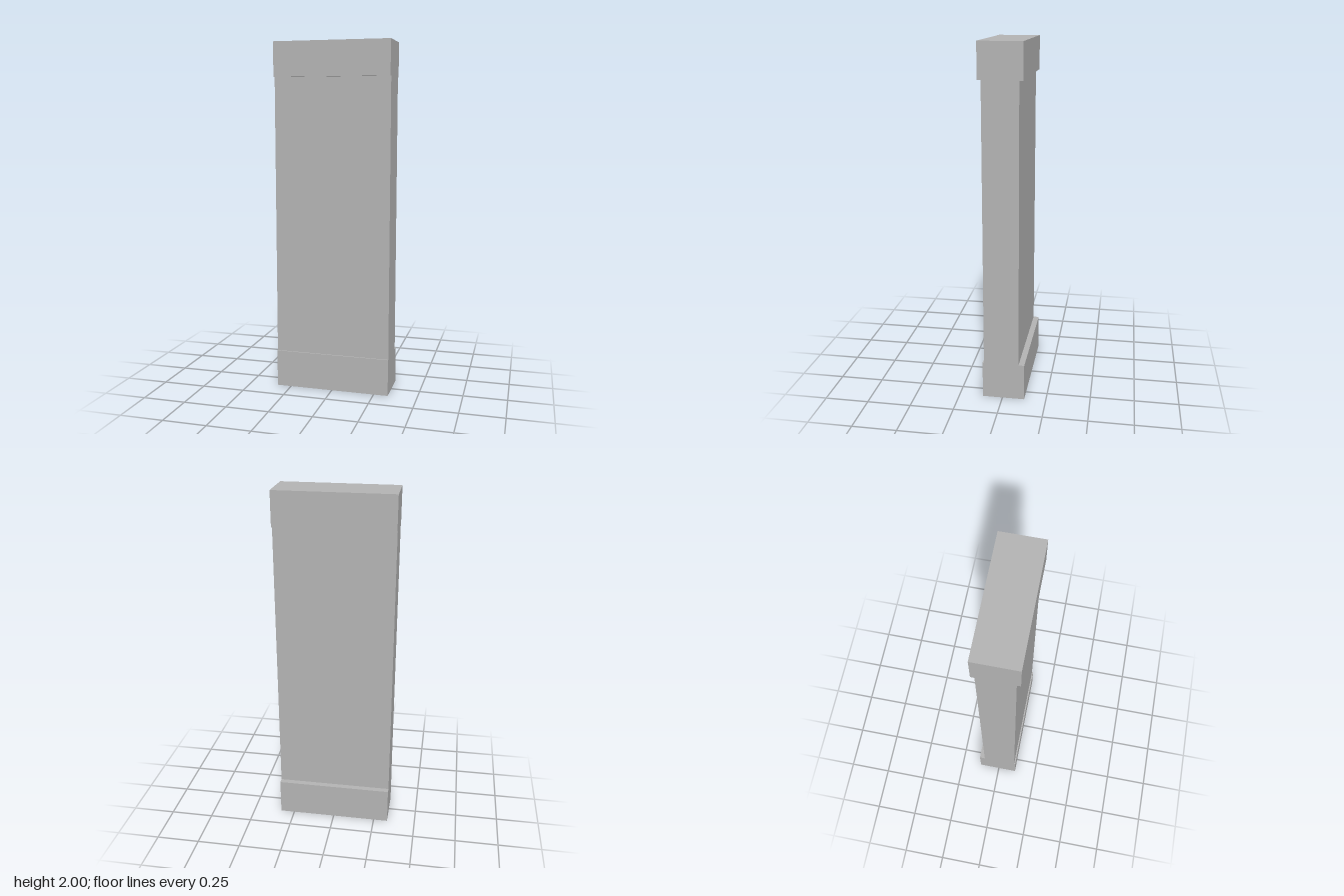
import * as THREE from 'three';

const WIDTH = 0.666;

export function createModel() {
  const group = new THREE.Group();
  group.name = 'wallPanel';
  const stone = new THREE.MeshStandardMaterial({ color: 0xb2b2b2 });
  stone.name = 'grey stone';

  // Side profile as (z, y): base block, thinner slab, cap block
  const profile = new THREE.Shape([
    [-0.126, 0], [0.114, 0], [0.114, 0.213], [0.106, 0.213],
    [0.106, 1.805], [0.126, 1.805], [0.126, 2], [-0.114, 2],
    [-0.114, 1.805], [-0.093, 1.805], [-0.093, 0.213], [-0.126, 0.213],
  ].map(([z, y]) => new THREE.Vector2(z, y)));

  // Sweep the profile across the full width
  const geometry = new THREE.ExtrudeGeometry(profile, { depth: WIDTH, bevelEnabled: false });
  geometry.translate(0, 0, -WIDTH / 2);
  geometry.rotateY(-Math.PI / 2);

  const slab = new THREE.Mesh(geometry, stone);
  slab.name = 'slabWithBaseAndCap';
  group.add(slab);
  return group;
}
